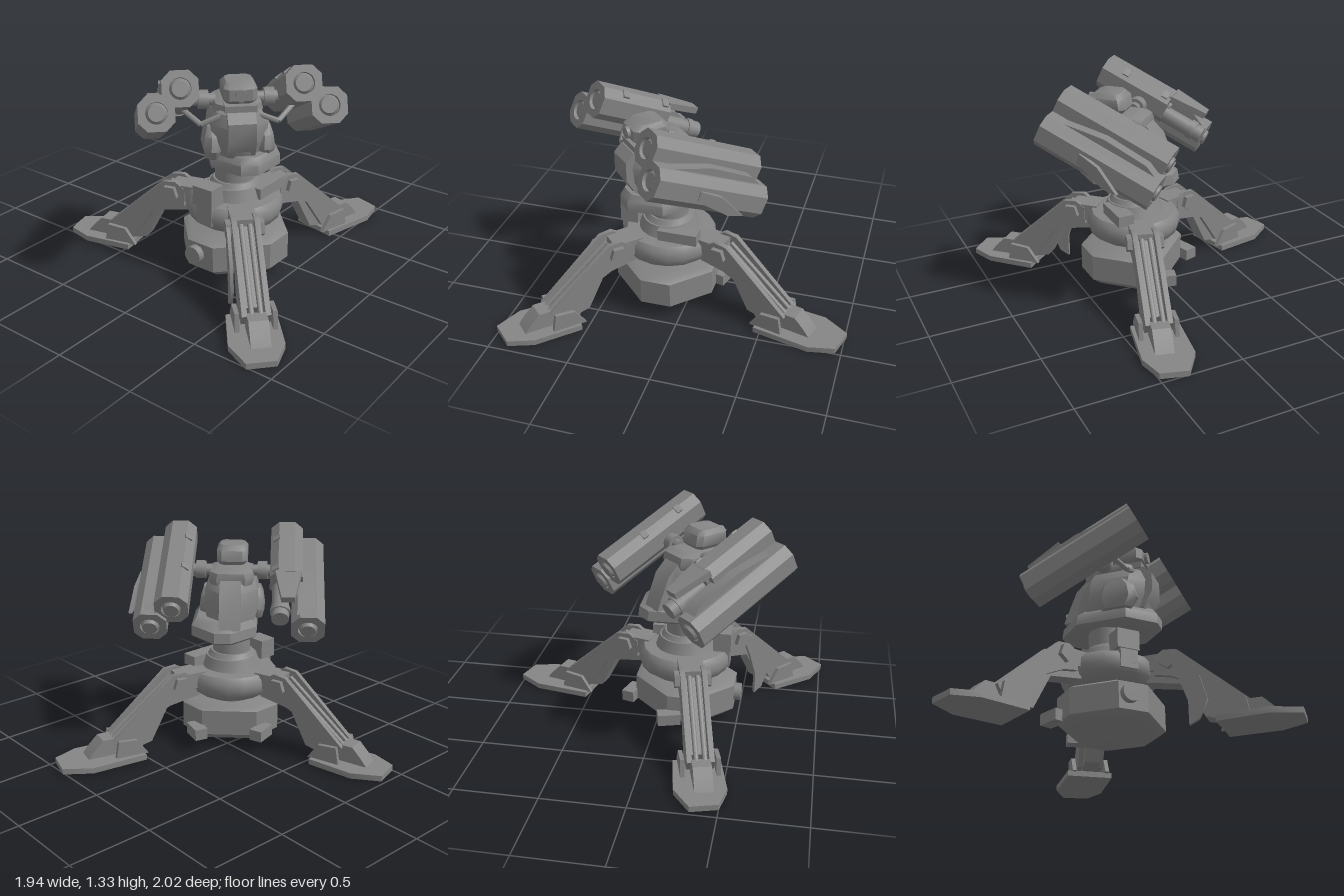
import * as THREE from 'three';
import { toCreasedNormals } from 'three/addons/utils/BufferGeometryUtils.js';

const mat = new THREE.MeshStandardMaterial({ color: 0x858585, side: THREE.DoubleSide });

function add(parent, name, geo, x = 0, y = 0, z = 0, rx = 0, ry = 0, rz = 0) {
  const m = new THREE.Mesh(toCreasedNormals(geo, 0.75), mat);
  m.name = name;
  m.position.set(x, y, z);
  m.rotation.set(rx, ry, rz);
  parent.add(m);
  return m;
}
const box = (w, h, d) => new THREE.BoxGeometry(w, h, d);
const cyl = (r0, r1, h, n = 20) => new THREE.CylinderGeometry(r0, r1, h, n);
const shape = (pts) => new THREE.Shape(pts.map(([x, y]) => new THREE.Vector2(x, y)));

// Flat plate with an XY outline, centred on z
function plate(pts, t) {
  const g = new THREE.ExtrudeGeometry(shape(pts), { depth: t, bevelEnabled: false });
  return g.translate(0, 0, -t / 2);
}

// Closed body from chamfered rectangles: rows of [y, halfWidth, zBack, zFront, chamfer]
function loft(rows) {
  const pos = [], idx = [], n = 8, last = (rows.length - 1) * n;
  for (const [y, h, b, f, c] of rows) {
    for (const [x, z] of [[h, b + c], [h, f - c], [h - c, f], [c - h, f],
      [-h, f - c], [-h, b + c], [c - h, b], [h - c, b]]) pos.push(x, y, z);
  }
  for (let i = 0; i < last; i += n) {
    for (let j = 0; j < n; j++) {
      const a = i + j, b = i + (j + 1) % n;
      idx.push(a, a + n, b, b, a + n, b + n);
    }
  }
  for (let j = 1; j < n - 1; j++) idx.push(0, j, j + 1, last, last + j + 1, last + j);
  const g = new THREE.BufferGeometry();
  g.setAttribute('position', new THREE.Float32BufferAttribute(pos, 3));
  g.setIndex(idx);
  return g;
}

// Rod between two points
function rod(parent, name, a, b, r) {
  const p = new THREE.Vector3(...a), q = new THREE.Vector3(...b);
  const m = add(parent, name, cyl(r, r, p.distanceTo(q), 12));
  m.position.copy(p).add(q).multiplyScalar(0.5);
  m.quaternion.setFromUnitVectors(new THREE.Vector3(0, 1, 0), q.sub(p).normalize());
}

// Leg pointing along +x; flip mirrors the lopsided foot, reach lengthens its toe
function makeLeg(flip, reach) {
  const leg = new THREE.Group();
  leg.name = 'leg';
  const outline = [[1.12 + reach, -0.1], [1.115 + reach, 0.065], [0.97 + reach, 0.134],
    [0.67, 0.14], [0.655, -0.144], [0.95 + reach, -0.17]].map(([r, v]) => [r, v * flip]);
  const sole = new THREE.ExtrudeGeometry(shape(outline), { depth: 0.035, bevelEnabled: false });
  add(leg, 'footPlate', sole.rotateX(-Math.PI / 2));
  add(leg, 'toeBlock', plate([[0.78, 0.03], [1.0, 0.03], [0.96, 0.08], [0.9, 0.14], [0.82, 0.14]], 0.11));
  for (const s of [-1, 1]) {
    add(leg, 'ankleFin', plate([[0.63, 0.03], [0.84, 0.03], [0.82, 0.14], [0.7, 0.13]], 0.025), 0, 0, s * 0.105);
    add(leg, 'sidePlate', plate([[0.3, 0.46], [0.36, 0.5], [0.44, 0.49], [0.84, 0.13], [0.8, 0.06],
      [0.66, 0.06], [0.52, 0.27], [0.4, 0.33], [0.3, 0.35]], 0.03), 0, 0, s * 0.065);
    add(leg, 'hipPivot', cyl(0.055, 0.055, 0.03, 5), 0.39, 0.425, s * 0.095, Math.PI / 2);
    rod(leg, 'actuator', [0.42, 0.46, s * 0.025], [0.86, 0.1, s * 0.025], 0.015);
  }
  add(leg, 'shin', plate([[0.25, 0.44], [0.4, 0.44], [0.74, 0.12], [0.7, 0.04], [0.58, 0.07],
    [0.47, 0.28], [0.25, 0.32]], 0.1));
  add(leg, 'hipBlock', box(0.18, 0.1, 0.15), 0.31, 0.43, 0);
  return leg;
}

// One launch tube spanning z0 to z1
function makeTube(z0, z1) {
  const tube = new THREE.Group();
  tube.name = 'launchTube';
  const h = 0.1, c = 0.05;
  const s = shape([[h, c - h], [h, h - c], [h - c, h], [c - h, h], [-h, h - c], [-h, c - h], [c - h, -h], [h - c, -h]]);
  const hole = new THREE.Path();
  hole.absarc(0, 0, 0.06, 0, Math.PI * 2, true);
  s.holes.push(hole);
  add(tube, 'tubeShell', new THREE.ExtrudeGeometry(s, { depth: z1 - z0, bevelEnabled: false, curveSegments: 16 }), 0, 0, z0);
  add(tube, 'missileTip', cyl(0.045, 0.06, 0.02), 0, 0, z1 - 0.02, Math.PI / 2);
  add(tube, 'rearCap', cyl(0.06, 0.045, 0.05), 0, 0, z0 + 0.01, Math.PI / 2);
  return tube;
}

// Pair of launch tubes; axis along +z, side is the outward sign of x
function makePod(side) {
  const pod = new THREE.Group();
  pod.name = 'launcherPod';
  const outer = makeTube(-0.37, 0.37);
  outer.position.set(side * 0.067, -0.063, 0);
  const inner = makeTube(side > 0 ? -0.35 : -0.1, 0.37);
  inner.position.set(-side * 0.067, 0.063, 0);
  pod.add(outer, inner);
  for (const z of [-0.06, 0.22]) add(pod, 'clip', box(0.05, 0.03, 0.04), -side * 0.125, 0.145, z, 0, 0, side * 0.6);
  add(pod, 'fairing', plate([[-0.34, 0], [-0.26, 0.04], [0.02, 0.05], [0.14, 0.03], [0.3, 0]], 0.1),
    side * 0.05, 0.03, 0, 0, -Math.PI / 2);
  if (side < 0) {
    // Shortened inner tube: tapered cover with a canister below it
    add(pod, 'rearCover', plate([[-0.04, 0.33], [0.04, 0.33], [0.08, 0.09], [-0.08, 0.09]], 0.04),
      0.055, 0.14, 0, -Math.PI / 2);
    add(pod, 'canister', cyl(0.052, 0.052, 0.28), 0.1, 0.02, -0.23, Math.PI / 2);
    add(pod, 'canisterBand', cyl(0.06, 0.06, 0.04), 0.1, 0.02, -0.3, Math.PI / 2);
  }
  pod.position.set(side * 0.405, 1.03, -0.005);
  pod.rotation.x = -25 * Math.PI / 180;
  return pod;
}

export function createModel() {
  const model = new THREE.Group();
  model.name = 'tripodTurret';
  const t = new THREE.Group();
  t.name = 'turretAssembly';
  t.position.set(0.13, 0, 0.15);
  t.rotation.y = Math.PI / 4;
  model.add(t);

  // Tripod: [heading in degrees, foot flip, extra reach]
  const legs = [[-90, 1, 0], [30, -1, 0.055], [150, 1, 0]].map(([deg, flip, reach]) => {
    const leg = makeLeg(flip, reach);
    leg.rotation.y = deg * Math.PI / 180;
    t.add(leg);
    return leg;
  });
  add(legs[0], 'shinGuard', plate([[0.38, 0.47], [0.47, 0.44], [0.57, 0.3], [0.61, 0.15],
    [0.56, 0.04], [0.5, 0.01], [0.5, 0.15], [0.45, 0.3]], 0.02), 0, 0, 0.1);

  // Underslung power unit
  add(t, 'powerUnit', loft([[0.045, 0.25, -0.21, 0.24, 0.11], [0.09, 0.3, -0.26, 0.29, 0.13],
    [0.25, 0.3, -0.26, 0.29, 0.13], [0.27, 0.27, -0.23, 0.26, 0.12]]));
  add(t, 'powerUnitNeck', cyl(0.17, 0.14, 0.1), 0, 0.28, 0);
  for (const s of [-1, 1]) add(t, 'rearTab', box(0.08, 0.07, 0.14), s * 0.2, 0.12, -0.27, 0, s * 0.5);
  add(t, 'sideDrum', cyl(0.055, 0.055, 0.1), -0.25, 0.18, 0.2, Math.PI / 2, 0, 0.78);

  // Base ring, collar and column
  const ring = [[0, 0.27], [0.14, 0.275], [0.22, 0.305], [0.275, 0.345], [0.29, 0.39], [0.285, 0.44], [0.26, 0.47], [0, 0.485]];
  add(t, 'baseRing', new THREE.LatheGeometry(ring.map(([x, y]) => new THREE.Vector2(x, y)), 18));
  add(t, 'collar', cyl(0.16, 0.185, 0.07), 0, 0.51, 0);
  add(t, 'collarTop', cyl(0.13, 0.15, 0.03), 0, 0.56, 0);
  add(t, 'column', cyl(0.118, 0.118, 0.2, 28), 0, 0.63, 0);
  add(t, 'controlBox', box(0.14, 0.12, 0.11), -0.18, 0.535, 0.16, 0, -Math.PI / 4);
  add(t, 'controlBoxStem', box(0.11, 0.14, 0.08), -0.18, 0.43, 0.17, 0, -Math.PI / 4);
  add(t, 'sideBox', box(0.1, 0.07, 0.24), 0.18, 0.505, 0.03, 0, -Math.PI / 4);

  // Rotating body
  add(t, 'skirt', loft([[0.685, 0.15, -0.26, 0.24, 0.1], [0.71, 0.2, -0.31, 0.3, 0.15],
    [0.77, 0.2, -0.3, 0.3, 0.15], [0.81, 0.17, -0.22, 0.27, 0.12]]), 0.04, 0, 0.015);
  add(t, 'body', loft([[0.78, 0.14, -0.18, 0.25, 0.09], [0.88, 0.17, -0.18, 0.29, 0.12],
    [0.98, 0.16, -0.15, 0.29, 0.1], [1.05, 0.13, -0.1, 0.26, 0.07], [1.075, 0.08, -0.03, 0.2, 0.04]]));
  add(t, 'backSpine', plate([[-0.26, 0.78], [-0.1, 0.78], [0.02, 1.08], [-0.07, 1.09], [-0.18, 0.98]], 0.13),
    0, 0, 0, 0, -Math.PI / 2);
  add(t, 'chestPlate', plate([[0.18, 0.8], [0.25, 0.8], [0.31, 0.9], [0.31, 1.02], [0.26, 1.07], [0.18, 1.06]], 0.16),
    0, 0, 0, 0, -Math.PI / 2);
  add(t, 'hood', loft([[1.0, 0.12, -0.1, 0.16, 0.04], [1.05, 0.14, -0.11, 0.2, 0.05],
    [1.09, 0.13, -0.1, 0.2, 0.05], [1.11, 0.08, -0.06, 0.16, 0.03]]));

  // Arms joining the launchers to the body
  for (const s of [-1, 1]) {
    add(t, 'cheek', loft([[0.77, 0.04, -0.08, 0.1, 0.03], [0.83, 0.055, -0.11, 0.14, 0.04],
      [0.91, 0.045, -0.09, 0.12, 0.035], [0.96, 0.03, -0.05, 0.07, 0.02]]), s * 0.15, 0, 0.1);
    add(t, 'shoulderShaft', cyl(0.035, 0.035, 0.2), s * 0.22, 1.08, 0.04, 0, 0, Math.PI / 2);
    add(t, 'shoulderJoint', cyl(0.055, 0.055, 0.06), s * 0.19, 1.08, 0.04, 0, 0, Math.PI / 2);
    rod(t, 'strut', [s * 0.1, 1.04, 0.2], [s * 0.22, 0.99, 0.2], 0.016);
    rod(t, 'strut', [s * 0.22, 0.99, 0.2], [s * 0.32, 1.06, 0.12], 0.016);
    t.add(makePod(s));
  }

  // Sensor head
  add(t, 'headBase', box(0.18, 0.04, 0.2), 0, 1.085, 0.15);
  add(t, 'headNeck', cyl(0.06, 0.075, 0.05), 0, 1.11, 0.14);
  add(t, 'head', loft([[1.11, 0.075, 0.04, 0.22, 0.02], [1.135, 0.095, 0.02, 0.25, 0.03],
    [1.2, 0.095, 0.03, 0.25, 0.03], [1.23, 0.075, 0.06, 0.21, 0.025]]));
  add(t, 'lens', cyl(0.035, 0.035, 0.04), 0, 1.17, 0.25, Math.PI / 2);

  // Deflector fin on the outer side of one launcher
  add(t, 'deflectorFin', plate([[-0.14, 0.84], [-0.05, 0.86], [0.12, 0.98], [0.1, 1.04], [-0.02, 0.98]], 0.025),
    0.59, 0, 0, 0, -Math.PI / 2 - 0.2);
  return model;
}
